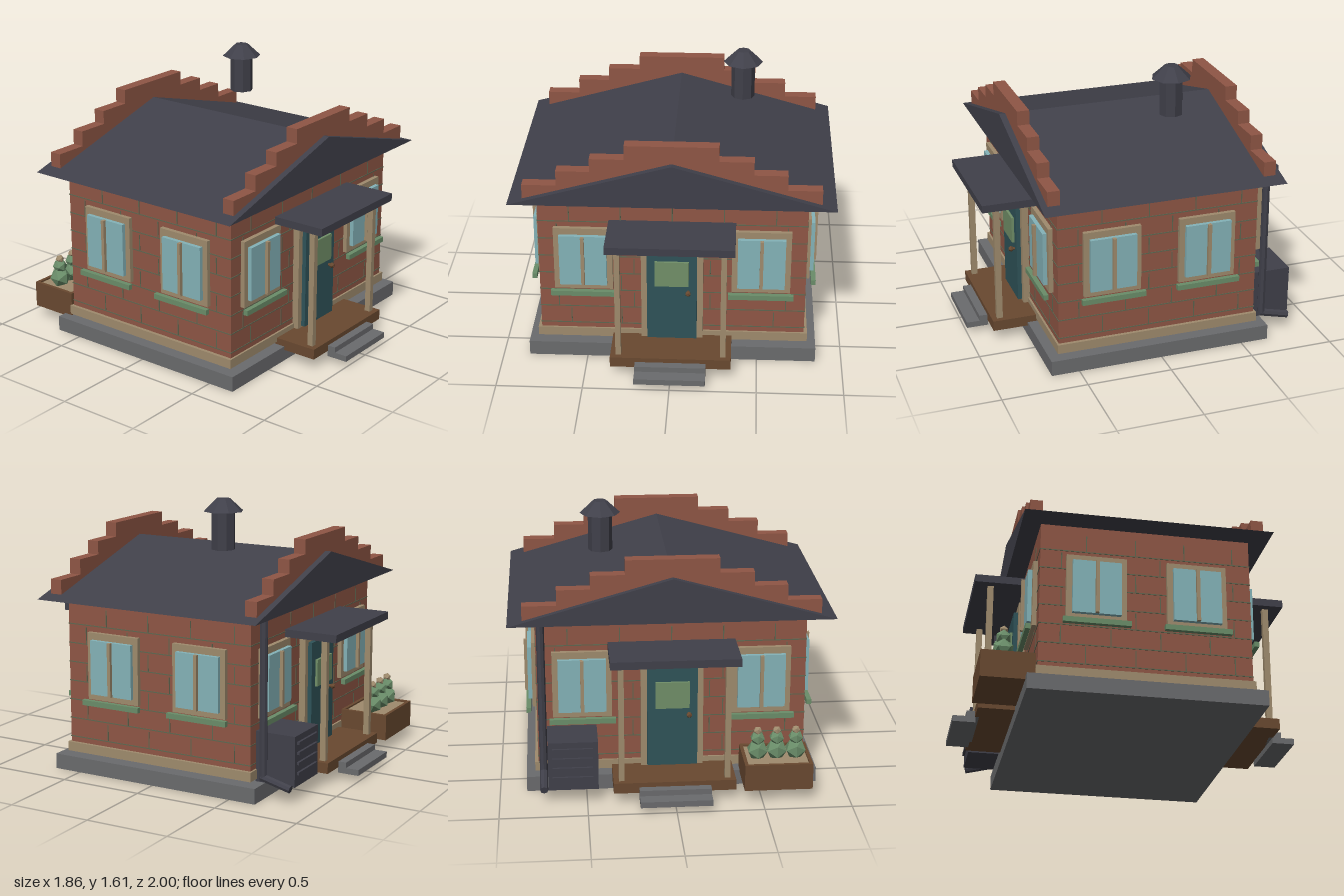
import * as THREE from 'three';

const mat = (name, color) => {
  const m = new THREE.MeshStandardMaterial({ color });
  m.name = name;
  return m;
};

export function createModel() {
  const M = {
    brick: mat('brick red', 0x8f5645),
    mortar: mat('mortar green', 0x5f6650),
    trim: mat('sand trim', 0x9f8b6d),
    glass: mat('window blue', 0x84b3b8),
    green: mat('sill green', 0x6a8d69),
    pane: mat('door pane green', 0x718f68),
    door: mat('door teal', 0x2f5359),
    slate: mat('slate', 0x40404a),
    stone: mat('stone grey', 0x6a6b6d),
    wood: mat('brown wood', 0x694930),
  };
  const house = new THREE.Group();
  house.name = 'house';

  const add = (parent, name, geo, m) => {
    const mesh = new THREE.Mesh(geo, m);
    mesh.name = name;
    parent.add(mesh);
    return mesh;
  };
  // Box given by its limits on each axis
  const box = (parent, name, m, x0, x1, y0, y1, z0, z1) => {
    const mesh = add(parent, name, new THREE.BoxGeometry(x1 - x0, y1 - y0, z1 - z0), m);
    mesh.position.set((x0 + x1) / 2, (y0 + y1) / 2, (z0 + z1) / 2);
    return mesh;
  };
  // Faceted geometry with hard edges
  const facet = (geo) => {
    const g = geo.toNonIndexed();
    g.computeVertexNormals();
    return g;
  };
  const extrude = (points, depth) => {
    const g = new THREE.ExtrudeGeometry(
      new THREE.Shape(points.map(([x, y]) => new THREE.Vector2(x, y))),
      { depth, bevelEnabled: false });
    return g.translate(0, 0, -depth / 2);
  };
  const pipe = (parent, name, m, a, b, r) => {
    const p = new THREE.Vector3(...a), q = new THREE.Vector3(...b);
    const d = q.clone().sub(p);
    const mesh = add(parent, name, facet(new THREE.CylinderGeometry(r, r, d.length(), 8)), m);
    mesh.position.copy(p).add(q).multiplyScalar(0.5);
    mesh.quaternion.setFromUnitVectors(new THREE.Vector3(0, 1, 0), d.normalize());
    return mesh;
  };

  // Foundation, walls and skirting
  box(house, 'foundation', M.stone, -0.845, 0.845, 0, 0.09, -0.665, 0.665);
  box(house, 'walls', M.brick, -0.775, 0.775, 0.11, 1.035, -0.6, 0.6);
  box(house, 'skirting', M.trim, -0.795, 0.795, 0.105, 0.16, -0.612, 0.612);

  // Mortar: a thin ring for each course, with staggered upright joints
  const joints = (name, half, step, shift, y0, y1, angle, dist) => {
    const side = new THREE.Group();
    side.name = name;
    side.rotation.y = angle;
    house.add(side);
    for (let x = -3 * step + shift; x < half - 0.04; x += step) {
      if (x > -half + 0.04) {
        box(side, 'mortarJoint', M.mortar, x - 0.003, x + 0.003, y0, y1, dist - 0.002, dist + 0.003);
      }
    }
  };
  for (let i = 0; i < 7; i++) {
    const y = 0.193 + i * 0.1135;
    box(house, 'mortarCourse', M.mortar, -0.778, 0.778, y - 0.003, y + 0.003, -0.603, 0.603);
    const odd = i % 2;
    for (const turn of [0, Math.PI]) {
      joints('longWallJoints', 0.775, odd ? 0.443 : 0.297, odd ? 0.22 : 0, y, y + 0.1, turn, 0.6);
      joints('shortWallJoints', 0.6, 0.28, odd ? 0.08 : -0.06, y, y + 0.1, turn + Math.PI / 2, 0.775);
    }
  }

  // Gable roof
  add(house, 'roof', extrude([[-0.93, 1.03], [0.93, 1.03], [0, 1.29]], 1.42), M.slate);

  // Stepped parapets at both gables
  const steps = [[0.845, 1.14], [0.65, 1.23], [0.46, 1.31], [0.265, 1.395]];
  const right = [];
  let y = 1.04;
  for (const [x, top] of steps) {
    right.push([x, y], [x, top]);
    y = top;
  }
  const left = right.map(([x, h]) => [-x, h]).reverse();
  for (const z of [-0.637, 0.637]) {
    add(house, 'parapet', extrude([...right, ...left], 0.072), M.brick).position.z = z;
  }

  // Chimney and its cowl
  pipe(house, 'chimney', M.slate, [0.385, 1.32, -0.21], [0.385, 1.55, -0.21], 0.07);
  const cowl = add(house, 'chimneyCowl', facet(new THREE.CylinderGeometry(0.04, 0.117, 0.072, 8)), M.slate);
  cowl.position.set(0.385, 1.576, -0.21);

  // Window built against a wall plane at z = 0
  const addWindow = (x, z, angle) => {
    const w = new THREE.Group();
    w.name = 'window';
    w.position.set(x, 0, z);
    w.rotation.y = angle;
    box(w, 'windowFrame', M.trim, -0.17, 0.17, 0.443, 0.84, -0.01, 0.026);
    box(w, 'windowGlass', M.glass, -0.137, 0.137, 0.48, 0.8, 0.02, 0.05);
    box(w, 'windowMullion', M.trim, -0.01, 0.01, 0.48, 0.8, 0.045, 0.07);
    box(w, 'windowSill', M.green, -0.19, 0.19, 0.412, 0.443, 0.036, 0.064);
    house.add(w);
  };
  for (const s of [-1, 1]) {
    for (const t of [-1, 1]) {
      addWindow(t * 0.515, s * 0.6, s > 0 ? 0 : Math.PI);
      addWindow(s * 0.775, t * 0.285, s * Math.PI / 2);
    }
  }

  // Entrance with door, canopy, deck and steps, at front and back
  for (const turn of [0, Math.PI]) {
    const e = new THREE.Group();
    e.name = 'entrance';
    e.rotation.y = turn;
    house.add(e);
    box(e, 'doorFrame', M.trim, -0.18, 0.18, 0.125, 0.82, 0.59, 0.64);
    box(e, 'door', M.door, -0.145, 0.145, 0.14, 0.77, 0.63, 0.665);
    box(e, 'doorPane', M.pane, -0.098, 0.098, 0.5, 0.66, 0.66, 0.68);
    pipe(e, 'knobStem', M.wood, [0.095, 0.46, 0.66], [0.095, 0.46, 0.685], 0.009);
    add(e, 'doorKnob', new THREE.IcosahedronGeometry(0.018), M.wood).position.set(0.095, 0.46, 0.688);
    box(e, 'canopy', M.slate, -0.365, 0.365, 0.843, 0.888, 0.6, 0.92);
    for (const s of [-1, 1]) {
      box(e, 'canopyPost', M.trim, s * 0.303 - 0.016, s * 0.303 + 0.016, 0.125, 0.845, 0.807, 0.842);
    }
    box(e, 'deck', M.wood, -0.35, 0.35, 0.068, 0.13, 0.6, 0.873);
    box(e, 'upperStep', M.stone, -0.205, 0.205, 0.068, 0.103, 0.85, 0.922);
    box(e, 'lowerStep', M.stone, -0.205, 0.205, 0.035, 0.07, 0.87, 1);
  }

  // Downpipe with slanted outlet
  pipe(house, 'downpipe', M.slate, [0.745, 1.04, -0.665], [0.745, 0.125, -0.665], 0.023);
  pipe(house, 'downpipeOutlet', M.slate, [0.745, 0.13, -0.655], [0.745, 0.085, -0.835], 0.023);

  // Cooling unit with slats on its back
  box(house, 'coolingUnit', M.slate, 0.435, 0.72, 0.09, 0.382, -0.848, -0.605);
  for (let i = 0; i < 4; i++) {
    const h = 0.165 + i * 0.058;
    box(house, 'coolingSlat', M.slate, 0.465, 0.695, h - 0.008, h + 0.008, -0.862, -0.84);
  }

  // Planter trough with soil
  box(house, 'planterBase', M.wood, -0.785, -0.395, 0.075, 0.2, -0.91, -0.61);
  for (const z of [-0.91, -0.63]) {
    box(house, 'planterRim', M.wood, -0.785, -0.395, 0.195, 0.232, z, z + 0.02);
  }
  for (const x of [-0.785, -0.415]) {
    box(house, 'planterRim', M.wood, x, x + 0.02, 0.195, 0.232, -0.895, -0.625);
  }
  box(house, 'planterSoil', M.trim, -0.77, -0.41, 0.19, 0.222, -0.895, -0.625);

  // Three plants, each two faceted balls and a bud
  for (const x of [-0.7, -0.59, -0.48]) {
    const plant = new THREE.Group();
    plant.name = 'plant';
    plant.position.set(x, 0, -0.78);
    const balls = [[0.064, 0.272, M.green], [0.045, 0.345, M.green], [0.026, 0.39, M.trim]];
    for (const [r, h, m] of balls) {
      add(plant, 'plantBall', new THREE.IcosahedronGeometry(r), m).position.y = h;
    }
    house.add(plant);
  }

  return house;
}
